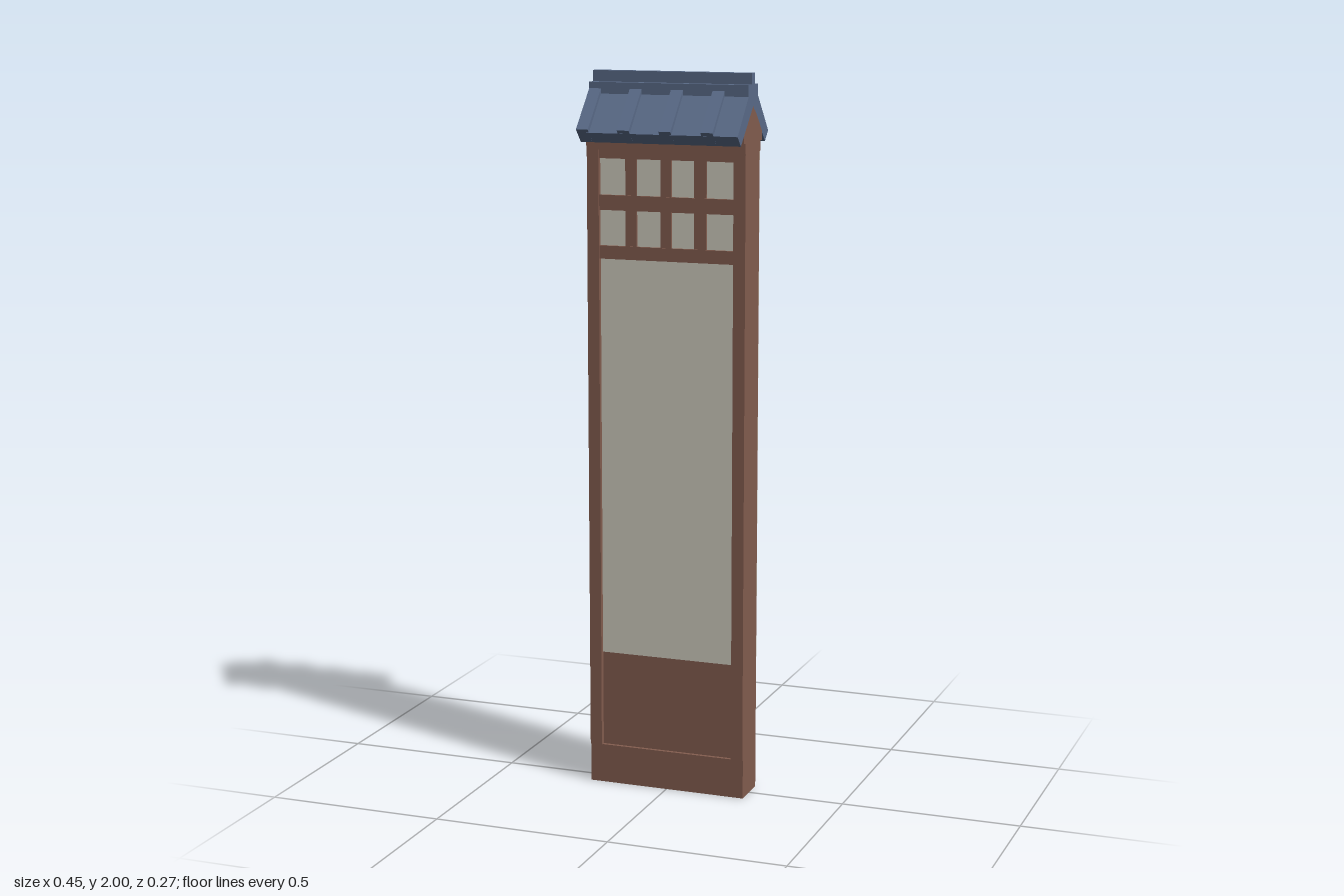
import * as THREE from 'three';

const W = 0.454; // full width along x

export function createModel() {
  const group = new THREE.Group();
  const mat = (name, color) => Object.assign(new THREE.MeshStandardMaterial({ color }), { name });
  const timber = mat('brown timber', 0x835d4f);
  const plaster = mat('cream plaster', 0xd0ccbf);
  const tile = mat('blue tile', 0x5a6b88);

  const add = (name, geometry, material) => {
    const mesh = new THREE.Mesh(geometry, material);
    mesh.name = name;
    group.add(mesh);
    return mesh;
  };
  // box given by its limits on each axis
  const box = (name, material, x0, x1, y0, y1, z0, z1) =>
    add(name, new THREE.BoxGeometry(x1 - x0, y1 - y0, z1 - z0)
      .translate((x0 + x1) / 2, (y0 + y1) / 2, (z0 + z1) / 2), material);
  // (z, y) profile extruded along x
  const prism = (name, material, points, x0, x1) => {
    const shape = new THREE.Shape(points.map(([z, y]) => new THREE.Vector2(z, y)));
    const g = new THREE.ExtrudeGeometry(shape, { depth: x1 - x0, bevelEnabled: false });
    return add(name, g.rotateY(-Math.PI / 2).translate(x1, 0, 0), material);
  };

  // wall: base, recessed core and side posts
  const h = W / 2;
  box('base', timber, -h, h, 0, 0.11, -0.055, 0.055);
  box('wallCore', timber, -h, h, 0.11, 1.8, -0.055, 0.045);
  box('rightPost', timber, -h, -0.193, 0.11, 1.8, 0.045, 0.06);
  box('leftPost', timber, 0.193, h, 0.11, 1.8, 0.045, 0.06);

  // plaster on the front and back
  box('frontPlaster', plaster, -0.193, 0.193, 0.38, 1.77, 0.045, 0.047);
  box('backPlaster', plaster, -h, h, 0.38, 1.79, -0.057, -0.055);

  // lattice of rails and bars at the top of the front
  for (const [y0, y1] of [[1.494, 1.53], [1.627, 1.668], [1.767, 1.8]])
    box('latticeRail', timber, -0.193, 0.193, y0, y1, 0.045, 0.056);
  for (const [x0, x1] of [[-0.118, -0.086], [-0.017, 0.014], [0.079, 0.114]])
    box('latticeBar', timber, x0, x1, 1.51, 1.79, 0.045, 0.053);

  // stepped beam and gable under the roof
  prism('gableBeam', timber, [
    [-0.063, 1.79], [0.063, 1.79], [0.063, 1.818], [0.074, 1.818], [0.074, 1.843],
    [0, 1.918], [-0.074, 1.843], [-0.074, 1.818], [-0.063, 1.818],
  ], -h, h);

  // roof slopes with raised ribs
  const ribs = [-h, -0.11, 0.008, 0.126];
  for (const s of [1, -1]) {
    const side = (pts) => (s > 0 ? pts : pts.map(([z, y]) => [-z, y]));
    prism('roofSlope', tile,
      side([[0, 1.913], [0.1, 1.813], [0.127, 1.84], [0.038, 1.94], [0, 1.955]]), -h, h);
    for (const x of ribs)
      prism('roofRib', tile,
        side([[0.02, 1.91], [0.105, 1.817], [0.135, 1.849], [0.038, 1.954], [0.02, 1.954]]), x, x + 0.034);
  }

  // two-step ridge
  box('ridgeBase', tile, -h, h, 1.925, 1.97, -0.039, 0.039);
  box('ridgeCap', tile, -h, h, 1.97, 2, -0.013, 0.013);

  return group;
}
